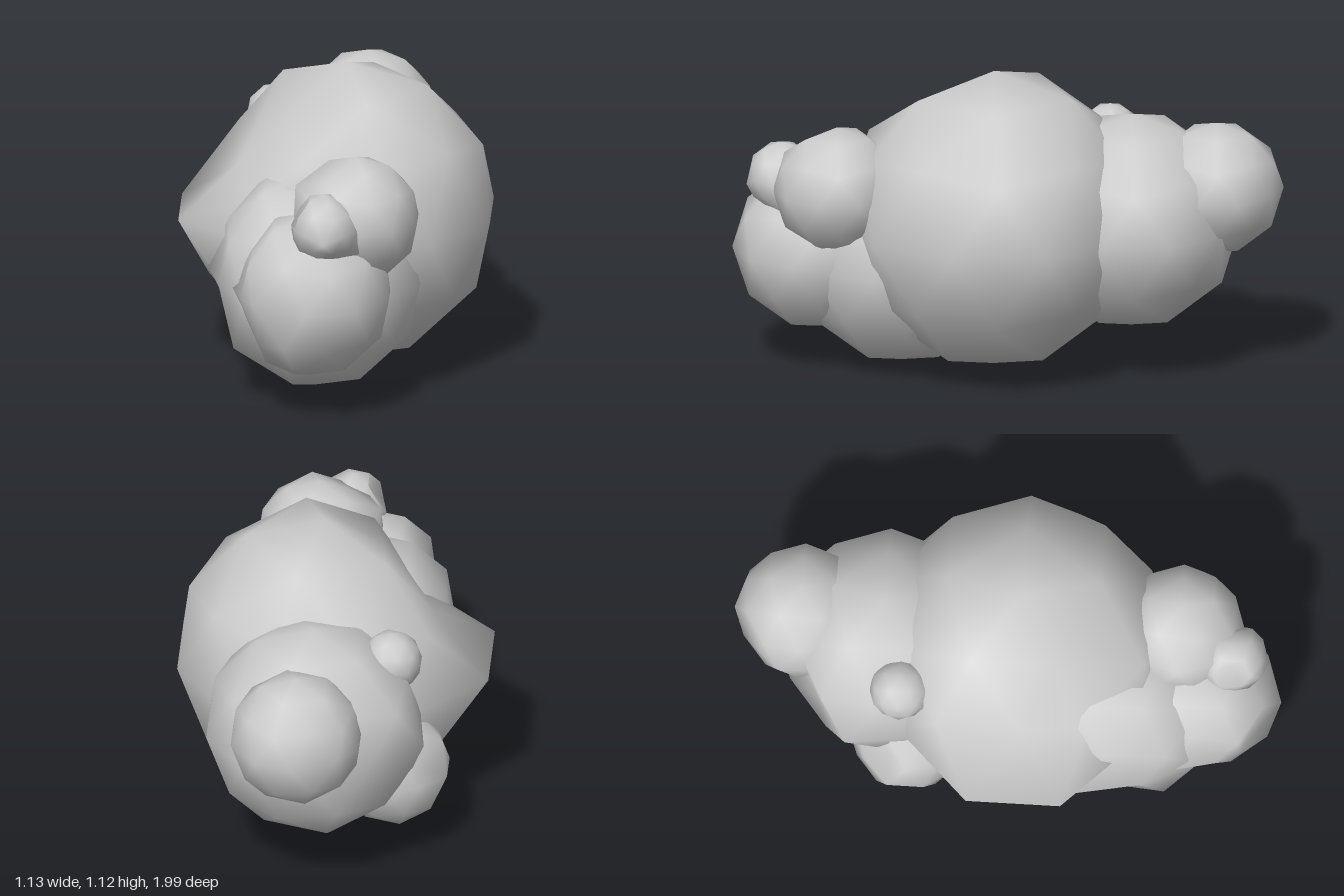
import * as THREE from 'three';
import { mergeVertices } from 'three/addons/utils/BufferGeometryUtils.js';

const material = new THREE.MeshStandardMaterial({ color: 0xcccccc });
const TIP = Math.atan(2 / (1 + Math.sqrt(5))); // turns a corner of the icosahedron straight up

// A coarse, smooth-shaded icosphere; each push [point, shift] drags the surface near a point
function puff(name, centre, radius, pushes = []) {
  let geo = new THREE.IcosahedronGeometry(radius, 1);
  geo.rotateZ(-TIP);
  geo.translate(...centre);
  geo.deleteAttribute('uv');
  geo.deleteAttribute('normal');
  geo = mergeVertices(geo, 1e-4);
  const pos = geo.attributes.position;
  const p = new THREE.Vector3();
  const move = new THREE.Vector3();
  for (let i = 0; i < pos.count; i++) {
    p.fromBufferAttribute(pos, i);
    move.set(0, 0, 0);
    for (const [at, shift] of pushes) {
      const d = p.distanceTo(new THREE.Vector3(...at)) / (radius / 4);
      move.addScaledVector(new THREE.Vector3(...shift), Math.exp(-d * d));
    }
    p.add(move);
    pos.setXYZ(i, p.x, p.y, p.z);
  }
  geo.computeVertexNormals();
  const mesh = new THREE.Mesh(geo, material);
  mesh.name = name;
  return mesh;
}

export function createModel() {
  const cloud = new THREE.Group();
  cloud.name = 'cloud';
  cloud.add(
    // Large middle ball: ridge on the -x side with a hollow above it
    puff('middlePuff', [0.035, 0.57, 0.05], 0.555, [
      [[-0.49, 0.57, 0.22], [-0.075, 0, 0]],
      [[-0.49, 0.57, -0.12], [-0.075, 0, 0]],
      [[-0.44, 0.86, 0.05], [0.08, -0.12, 0.02]],
      [[-0.365, 0.82, 0.34], [0.065, -0.14, -0.04]],
      [[-0.2, 1.04, 0.22], [0.03, -0.09, -0.05]],
    ]),
    // Front cluster, pressed in a little on the -x side
    puff('frontLowerPuff', [-0.07, 0.41, 0.38], 0.41, [
      [[-0.42, 0.63, 0.38], [0.04, 0, 0]],
      [[-0.46, 0.41, 0.51], [0.05, 0, 0]],
      [[-0.44, 0.23, 0.38], [0.09, 0, 0]],
      [[-0.29, 0.06, 0.38], [0.06, 0.06, 0]],
    ]),
    puff('frontEndPuff', [-0.07, 0.435, 0.69], 0.305, [
      [[-0.33, 0.595, 0.69], [0.05, 0, 0]],
      [[-0.34, 0.3, 0.69], [0.06, 0, 0]],
      [[-0.28, 0.275, 0.84], [0.03, 0, -0.02]],
      [[-0.36, 0.435, 0.78], [0.04, 0, -0.02]],
      [[-0.25, 0.435, 0.94], [-0.02, 0, -0.08]],
    ]),
    puff('frontUpperPuff', [0.095, 0.7, 0.62], 0.235, [
      [[-0.105, 0.82, 0.62], [-0.02, 0, 0]],
      [[-0.005, 0.9, 0.69], [0, -0.04, 0]],
    ]),
    puff('frontSmallPuff', [-0.01, 0.72, 0.815], 0.13, [
      [[0.115, 0.72, 0.815], [-0.025, 0, 0]],
      [[0.105, 0.78, 0.815], [-0.035, 0.01, 0]],
      [[0.1, 0.65, 0.815], [0.025, -0.03, 0]],
      [[0.055, 0.83, 0.815], [-0.01, -0.015, 0]],
      [[-0.12, 0.79, 0.815], [0.05, 0, 0]],
      [[-0.13, 0.72, 0.855], [0.015, 0, 0]],
      [[-0.01, 0.72, 0.945], [0, -0.03, 0]],
    ]),
    // Back cluster
    puff('backPuff', [0.045, 0.56, -0.45], 0.4, [
      [[-0.19, 0.56, -0.77], [0, 0, 0.09]],
      [[-0.335, 0.56, -0.57], [-0.03, 0, 0]],
      [[-0.24, 0.74, -0.66], [-0.03, 0, 0]],
    ]),
    puff('backEndPuff', [0.085, 0.69, -0.755], 0.245, [
      [[-0.06, 0.69, -0.95], [-0.02, 0, 0.05]],
    ]),
    puff('backTopSmallPuff', [-0.235, 0.8, -0.38], 0.113),
    puff('backLowerPuff', [-0.235, 0.335, -0.35], 0.215, [
      [[-0.36, 0.335, -0.525], [0.02, 0, 0.02]],
      [[-0.39, 0.43, -0.465], [0.06, -0.05, 0.05]],
      [[-0.43, 0.24, -0.35], [0.055, 0.03, 0]],
      [[-0.35, 0.15, -0.35], [0.06, 0.03, 0]],
    ]),
  );
  return cloud;
}
